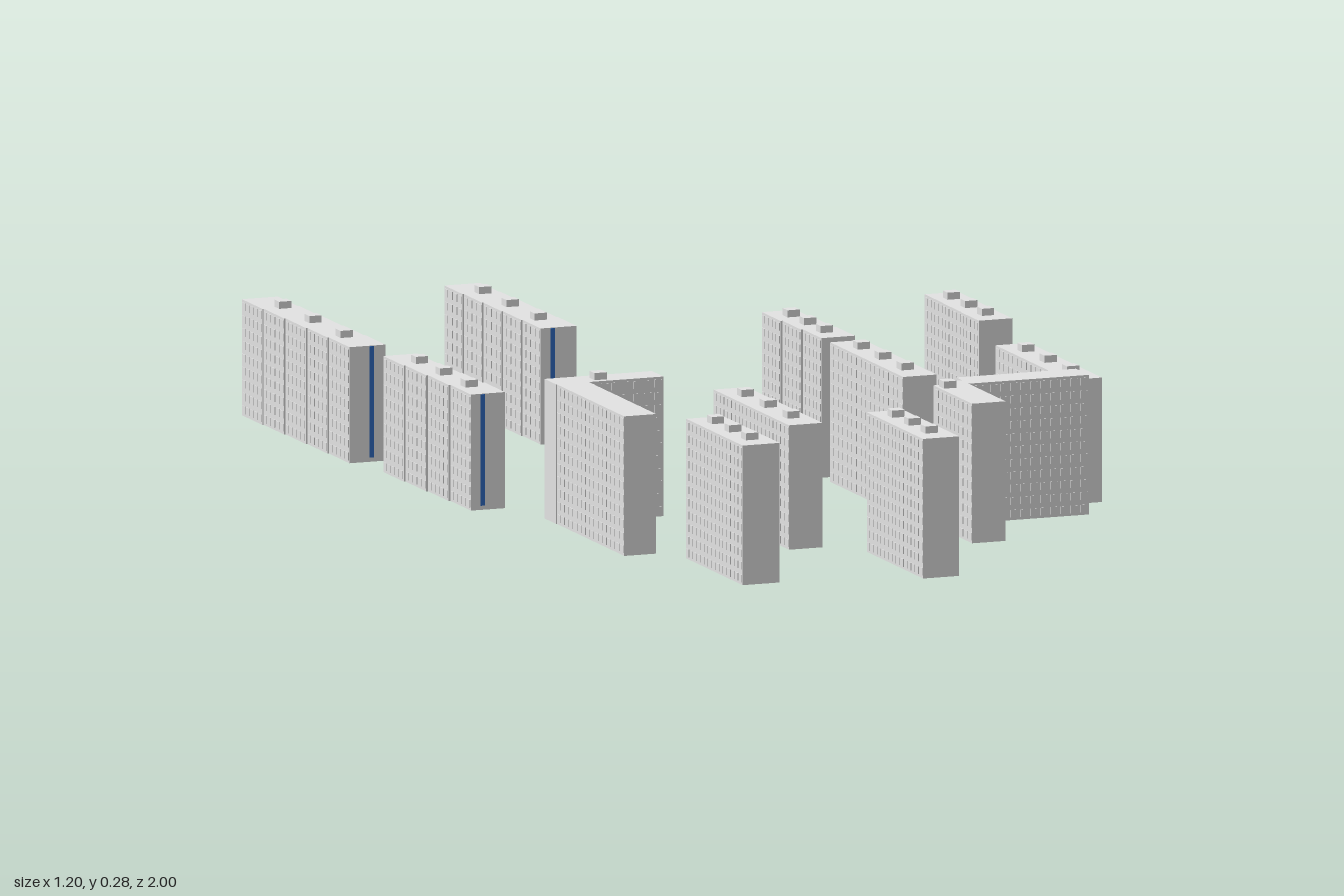
import * as THREE from 'three';
import { mergeGeometries } from 'three/addons/utils/BufferGeometryUtils.js';

const concrete = new THREE.MeshStandardMaterial({ color: 0xe4e4e4, side: THREE.DoubleSide });
concrete.name = 'concrete grey';
const blue = new THREE.MeshStandardMaterial({ color: 0x2f6cc4, side: THREE.DoubleSide });
blue.name = 'stripe blue';

const RELIEF = 0.0012; // how far the facade panels stand out

// Box from its limits, without the underside
function openBox(x0, x1, y0, y1, z0, z1) {
  const g = new THREE.BoxGeometry(x1 - x0, y1 - y0, z1 - z0);
  g.translate((x0 + x1) / 2, (y0 + y1) / 2, (z0 + z1) / 2);
  const index = Array.from(g.index.array);
  index.splice(18, 6);
  g.setIndex(index);
  g.clearGroups();
  return g;
}

// Rows of shallow panels on the two long sides of a wing
function facadePanels(x0, x1, z0, z1, h, alongX) {
  const parts = [];
  const [a0, a1] = alongX ? [x0, x1] : [z0, z1];
  const [b0, b1] = alongX ? [z0, z1] : [x0, x1];
  const cols = Math.max(1, Math.round((a1 - a0) / 0.021));
  const rows = Math.round(h / 0.0243);
  const da = (a1 - a0) / cols, dy = h / rows;
  for (let i = 0; i < cols; i++) {
    for (let j = 0; j < rows; j++) {
      const a = a0 + (i + 0.5) * da, y = (j + 0.5) * dy;
      for (const [s, e] of [[b0, b0 + RELIEF], [b1 - RELIEF, b1]]) {
        const p = [a - da * 0.34, a + da * 0.34], q = [s, e];
        const [xs, zs] = alongX ? [p, q] : [q, p];
        parts.push(openBox(xs[0], xs[1], y - dy * 0.3, y + dy * 0.3, zs[0], zs[1]));
      }
    }
  }
  return parts;
}

function addMesh(group, name, geometries, material) {
  const mesh = new THREE.Mesh(mergeGeometries(geometries), material);
  mesh.name = name;
  group.add(mesh);
}

// Small lift housings on the roof
function addRoofHuts(group, spots, h) {
  const r = 0.0125;
  addMesh(group, 'roofHuts',
    spots.map(([x, z]) => openBox(x - r, x + r, h, h + 0.0135, z - r, z + r)), concrete);
}

// A straight slab of sections, each shifted slightly sideways from the last
function slabBlock({ x, w = 0.07, z, h, shift = 0, huts, stripes }) {
  const group = new THREE.Group();
  group.name = 'slabBlock';
  const [z0, z1] = z;
  const n = Math.max(3, Math.round((z1 - z0) / 0.1));
  const len = (z1 - z0) / n;
  const walls = [], panels = [];
  for (let i = 0; i < n; i++) {
    const c = x + shift * (i / (n - 1) - 0.5), a = z0 + i * len, b = a + len;
    walls.push(openBox(c - w / 2 + RELIEF, c + w / 2 - RELIEF, 0, h, a, b));
    panels.push(...facadePanels(c - w / 2, c + w / 2, a, b, h, false));
  }
  addMesh(group, 'walls', walls, concrete);
  addMesh(group, 'facadePanels', panels, concrete);
  addRoofHuts(group, huts.map(hz => [x, hz]), h);
  // Painted stripes on the gable ends: [front x, back x]
  if (stripes) {
    const s = 0.0045;
    addMesh(group, 'gableStripes', stripes.map((sx, i) => {
      const end = z[1 - i];
      return openBox(sx - s, sx + s, 0.008, h - 0.001, end - 0.001, end + 0.001);
    }), blue);
  }
  return group;
}

// A corner block made of wings [x0, x1, z0, z1, alongX, overlap into the previous wing]
function cornerBlock(wings, h, hut) {
  const group = new THREE.Group();
  group.name = 'cornerBlock';
  const walls = [], panels = [];
  for (const [x0, x1, z0, z1, alongX, overlap] of wings) {
    const ix = alongX ? 0 : RELIEF, iz = alongX ? RELIEF : 0;
    walls.push(openBox(x0 + ix, x1 - ix, 0, h, z0 + iz - overlap, z1 - iz));
    panels.push(...facadePanels(x0, x1, z0, z1, h, alongX));
  }
  addMesh(group, 'walls', walls, concrete);
  addMesh(group, 'facadePanels', panels, concrete);
  addRoofHuts(group, [hut], h);
  return group;
}

export function createModel() {
  const model = new THREE.Group();
  model.name = 'housingEstate';
  const LOW = 0.222, MID = 0.238, HIGH = 0.267;

  const slabs = [
    { x: -0.557, w: 0.075, z: [-0.999, -0.475], h: LOW, shift: 0.011, huts: [-0.895, -0.74, -0.58], stripes: [-0.543, -0.55] },
    { x: -0.153, w: 0.075, z: [-0.988, -0.519], h: LOW, shift: 0.01, huts: [-0.895, -0.755, -0.61], stripes: [-0.16, -0.146] },
    { x: -0.521, w: 0.071, z: [-0.37, 0.052], h: LOW, shift: 0.011, huts: [-0.285, -0.16, -0.03], stripes: [-0.526, -0.515] },
    { x: 0.214, z: [-0.3, -0.015], h: HIGH, shift: 0.008, huts: [-0.245, -0.16, -0.075] },
    { x: 0.559, z: [-0.355, -0.07], h: HIGH, shift: -0.003, huts: [-0.3, -0.21, -0.125] },
    { x: 0.218, z: [0.03, 0.405], h: HIGH, huts: [0.105, 0.215, 0.33] },
    { x: 0.552, z: [0.03, 0.405], h: MID, huts: [0.1, 0.215, 0.33] },
    { x: -0.104, z: [0.25, 0.637], h: MID, huts: [0.328, 0.445, 0.562] },
    { x: -0.312, w: 0.077, z: [0.647, 0.937], h: HIGH, huts: [0.703, 0.792, 0.878] },
    { x: 0.027, w: 0.075, z: [0.71, 0.999], h: HIGH, huts: [0.767, 0.852, 0.938] },
  ];
  for (const s of slabs) model.add(slabBlock(s));

  model.add(cornerBlock([
    [-0.45, -0.233, 0.175, 0.237, true, 0],
    [-0.45, -0.383, 0.237, 0.582, false, 0.01],
  ], HIGH, [-0.355, 0.21]));
  model.add(cornerBlock([
    [0.275, 0.517, 0.445, 0.514, true, 0],
    [0.237, 0.275, 0.475, 0.514, true, 0],
    [0.205, 0.275, 0.514, 0.703, false, 0.01],
  ], HIGH, [0.225, 0.53]));
  return model;
}
